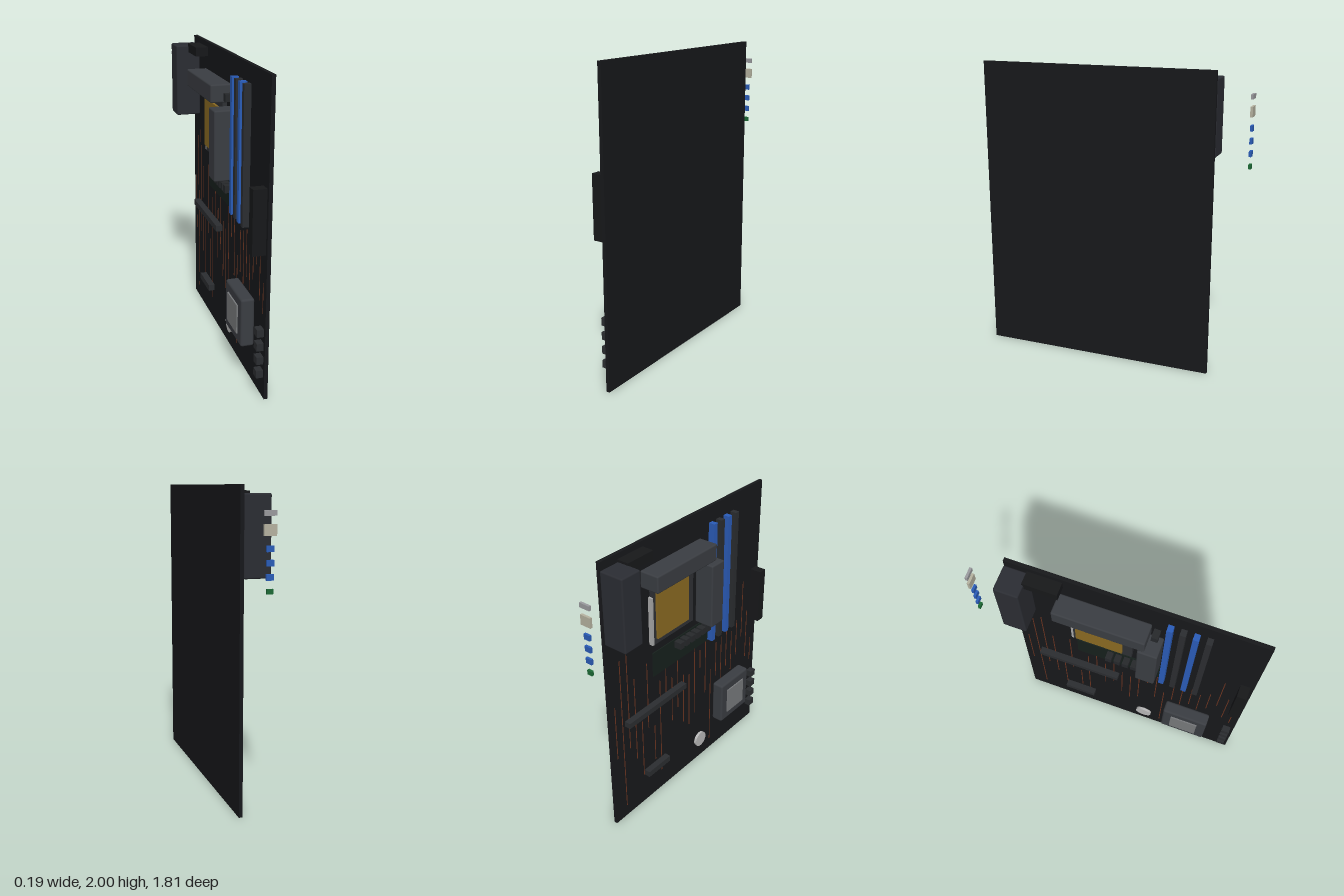
import * as THREE from 'three';
import { RoundedBoxGeometry } from 'three/addons/geometries/RoundedBoxGeometry.js';

const FACE = 0.07; // x of the board's component side, which looks towards -x

export function createModel() {
  const group = new THREE.Group();
  const materials = {};
  const mat = (color) => (materials[color] ??= new THREE.MeshStandardMaterial({ color }));

  function add(name, geometry, color, x, y, z) {
    const mesh = new THREE.Mesh(geometry, mat(color));
    mesh.name = name;
    mesh.position.set(x, y, z);
    group.add(mesh);
    return mesh;
  }

  // Box given by its limits on each axis, with an optional edge radius
  function block(name, color, [x0, x1], [y0, y1], [z0, z1], radius = 0) {
    const size = [x1 - x0, y1 - y0, z1 - z0];
    const geometry = radius
      ? new RoundedBoxGeometry(...size, 2, radius)
      : new THREE.BoxGeometry(...size);
    return add(name, geometry, color, (x0 + x1) / 2, (y0 + y1) / 2, (z0 + z1) / 2);
  }

  // Circuit board
  block('board', 0x17181b, [FACE, 0.094], [0, 2], [-0.693, 0.905]);

  // Copper traces: bottom and top of each vertical line, evenly spaced along z
  const traces = [
    [0.55, 0.97], [0.09, 1.29], [0.56, 1.35], [0.43, 1.09], [0.24, 0.71],
    [0.62, 1.14], [0.3, 0.6], [0.16, 0.94], [0.73, 1.08], [0.53, 0.9],
    [0.61, 1.03], [0.44, 0.85], [0.38, 0.82], [0.45, 1.09], [0.81, 0.96],
    [0.56, 1.05], [0.09, 0.73], [0.64, 0.93], [0.58, 0.95], [0.66, 0.98],
    [0.6, 0.93], [0.7, 1.0], [0.83, 1.29], [0.62, 1.02], [0.56, 0.76],
  ];
  traces.forEach((range, i) => {
    const z = -0.645 + i * 0.0624;
    block('trace', 0x6b3420, [FACE - 0.002, FACE], range, [z - 0.003, z + 0.003]);
  });

  // Processor socket, metal lid and retention lever
  block('socketFrame', 0x2e3034, [0.04, FACE], [1.27, 1.69], [-0.285, 0.11]);
  block('processorLid', 0x8a6a22, [0.025, 0.04], [1.31, 1.64], [-0.264, 0.048]);
  block('socketLever', 0xa8a8a8, [0.04, FACE], [1.27, 1.61], [-0.3, -0.285 + 0.012]);

  // Rear cover and power-stage heat sinks
  block('portCover', 0x2b2d33, [-0.098, FACE], [1.46, 1.95], [-0.695, -0.54], 0.01);
  block('topHeatSink', 0x3a3d42, [-0.07, FACE], [1.705, 1.82], [-0.365, 0.215], 0.01);
  block('sideHeatSink', 0x3a3d42, [-0.07, FACE], [1.22, 1.675], [0.17, 0.297], 0.01);

  // Chokes above and below the socket
  for (const y of [1.155, 1.745]) {
    for (let i = 0; i < 6; i++) {
      const z = -0.04 + i * 0.058;
      block('choke', 0x26282b, [0.008, FACE], [y - 0.024, y + 0.024], [z - 0.021, z + 0.021]);
    }
  }

  // Memory slots, alternately blue and dark
  [0.326, 0.404, 0.482, 0.56].forEach((z, i) =>
    block('memorySlot', i % 2 ? 0x2b2d30 : 0x2a5cb8, [0.026, FACE], [1.01, 1.89], [z - 0.018, z + 0.018]));

  // Power connectors
  block('mainPowerConnector', 0x17181a, [-0.014, FACE], [0.95, 1.355], [0.818, 0.88]);
  block('processorPowerConnector', 0x17181a, [-0.014, FACE], [1.905, 1.965], [-0.55, -0.333]);

  // Flat drive shield and expansion slots
  block('driveShield', 0x16201c, [0.062, FACE], [1.01, 1.19], [-0.275, 0.3]);
  block('longExpansionSlot', 0x2b2d30, [0.026, FACE], [0.77, 0.81], [-0.56, 0.02]);
  block('shortExpansionSlot', 0x2b2d30, [0.026, FACE], [0.236, 0.28], [-0.39, -0.166]);

  // Chipset heat sink with a pale plate
  block('chipsetHeatSink', 0x3a3d42, [-0.018, FACE], [0.265, 0.59], [0.386, 0.71], 0.015);
  block('chipsetPlate', 0x77797b, [-0.027, -0.016], [0.33, 0.527], [0.45, 0.645]);

  // Drive connectors along the front edge
  for (let i = 0; i < 4; i++) {
    const y = 0.165 + i * 0.093;
    block('driveConnector', 0x2b2d30, [0.026, FACE], [y - 0.025, y + 0.025], [0.828, 0.882]);
  }

  // Coin battery
  add('battery', new THREE.CylinderGeometry(0.058, 0.058, 0.018, 32), 0xb8b8b8, FACE - 0.009, 0.168, 0.226)
    .rotation.z = Math.PI / 2;

  // Rear ports standing clear of the board: colour, centre y, height, width
  const ports = [
    [0x9a9a9e, 1.845, 0.03, 0.074],
    [0xb5b2a0, 1.753, 0.065, 0.074],
    [0x2a5cb8, 1.65, 0.036, 0.044],
    [0x2a5cb8, 1.571, 0.036, 0.044],
    [0x2a5cb8, 1.492, 0.036, 0.044],
    [0x1c6a35, 1.412, 0.03, 0.036],
  ];
  for (const [color, y, height, width] of ports) {
    add('rearPort', new THREE.BoxGeometry(width, height, 0.016), color, -0.01, y, -0.897);
  }

  return group;
}
